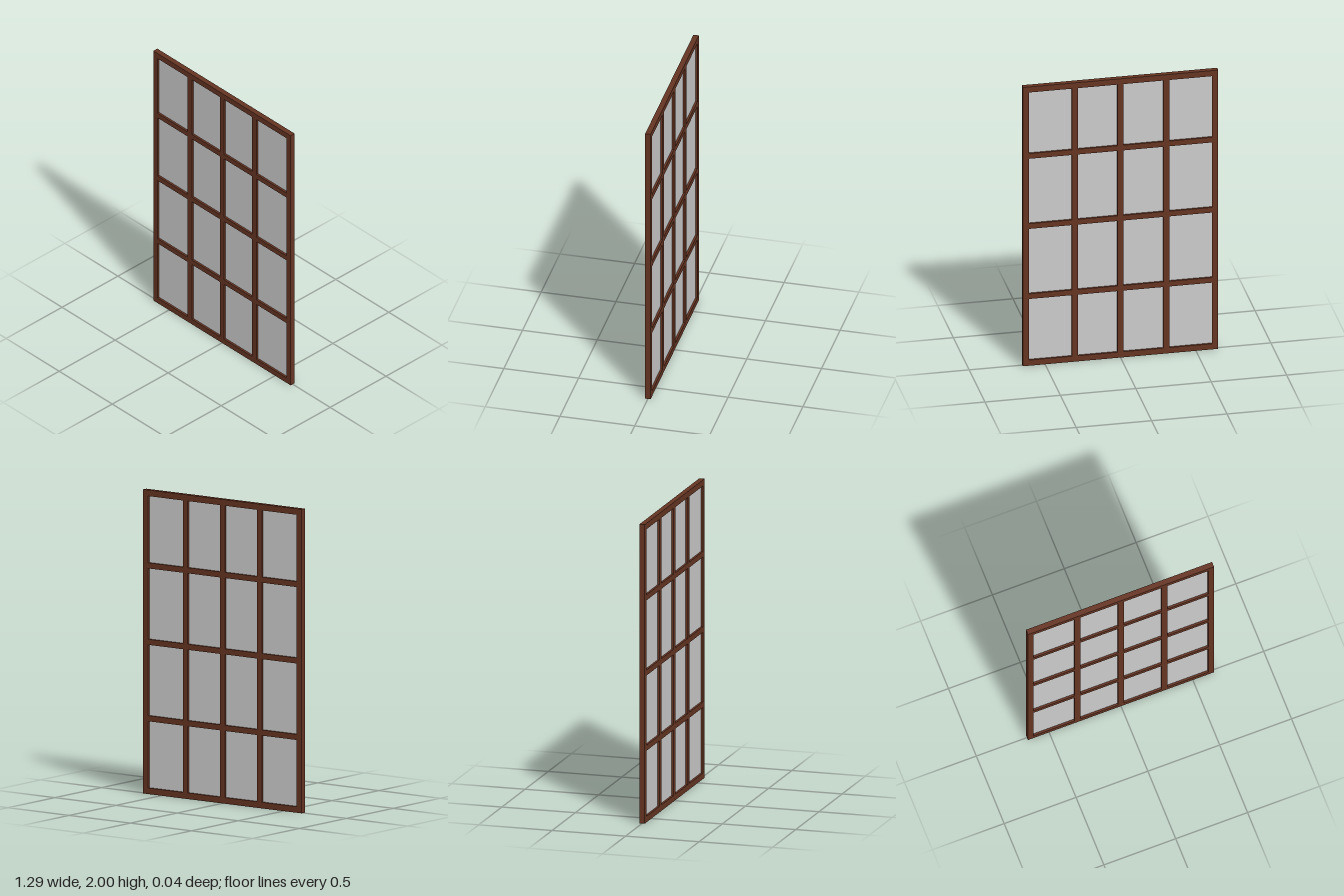
import * as THREE from 'three';

const W = 1.295, H = 2, DEPTH = 0.036, BAR = 0.04;
const COLS = 4, ROWS = 4;

export function createModel() {
  const model = new THREE.Group();
  model.name = 'windowPanel';
  const wood = new THREE.MeshStandardMaterial({ color: 0x653422 });
  const glass = new THREE.MeshStandardMaterial({ color: 0xcccccc });

  const box = (name, w, h, d, x, y, material = wood) => {
    const mesh = new THREE.Mesh(new THREE.BoxGeometry(w, h, d), material);
    mesh.name = name;
    mesh.position.set(x, y, 0);
    model.add(mesh);
  };

  // Outer frame: full-height stiles, rails fitted between them
  const innerW = W - 2 * BAR, innerH = H - 2 * BAR;
  for (const s of [-1, 1]) {
    box(s > 0 ? 'leftStile' : 'rightStile', BAR, H, DEPTH, s * (W - BAR) / 2, H / 2);
    box(s > 0 ? 'topRail' : 'bottomRail', innerW, BAR, DEPTH, 0, H / 2 + s * (H - BAR) / 2);
  }

  // Vertical glazing bars between the rails
  const stepX = (W - BAR) / COLS;
  for (let i = 1; i < COLS; i++) {
    box('verticalBar', BAR, innerH, DEPTH, (i - COLS / 2) * 0.303, H / 2);
  }

  // Horizontal glazing bars, in short lengths between the verticals
  const edges = [-(W - BAR) / 2, -0.303, 0, 0.303, (W - BAR) / 2];
  for (let j = 1; j < ROWS; j++) {
    const y = H / 2 + (j - ROWS / 2) * 0.503;
    for (let i = 0; i < COLS; i++) {
      const length = edges[i + 1] - edges[i] - BAR;
      box('horizontalBar', length, 0.037, DEPTH, (edges[i] + edges[i + 1]) / 2, y);
    }
  }

  // Thin glass sheet set in the middle of the frame
  box('glassPane', innerW, innerH, 0.008, 0, H / 2, glass);

  return model;
}
